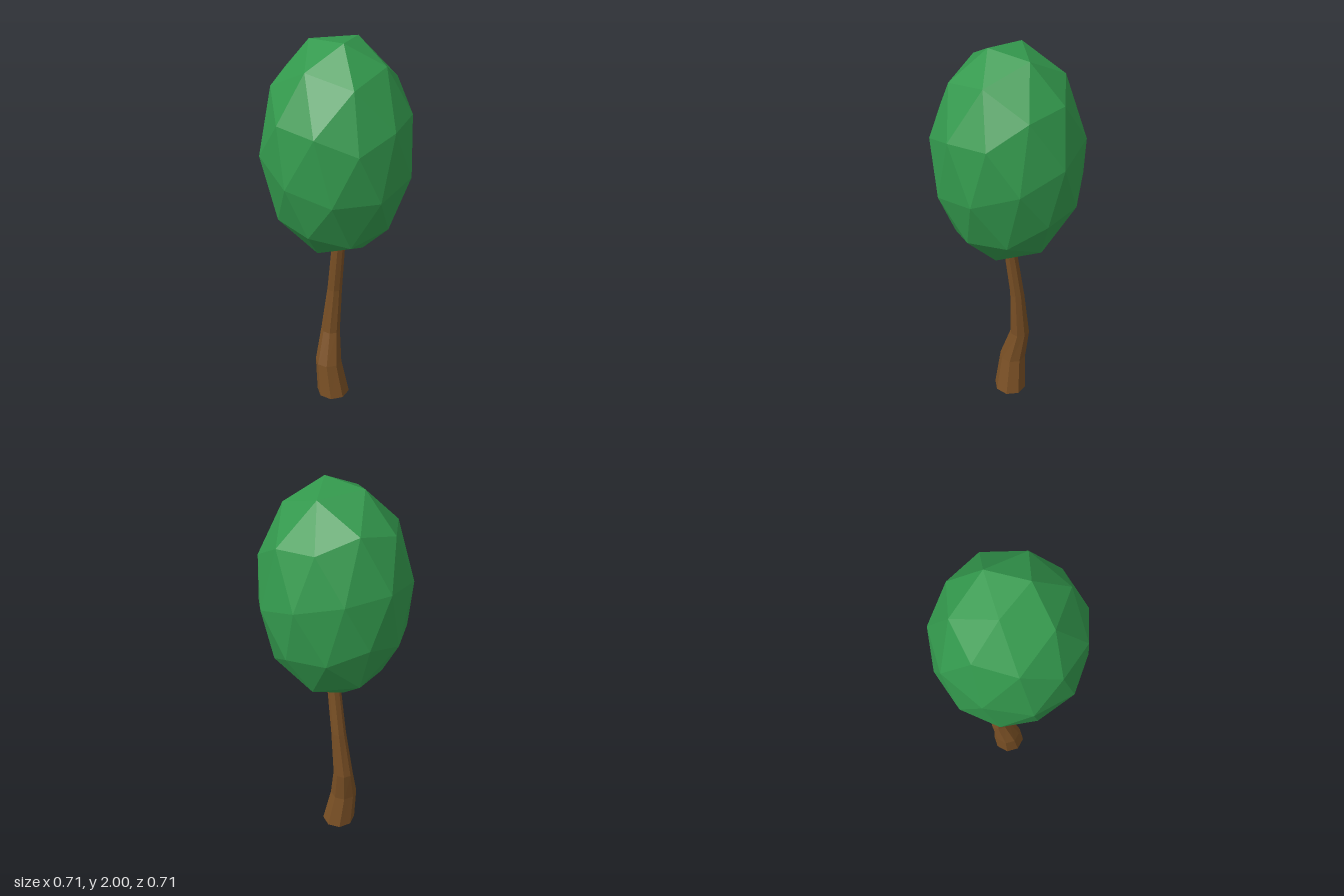
import * as THREE from 'three';

// Trunk cross-sections: y, centre x, centre z, radius x, radius z
const RINGS = [
  [0, -0.02, 0.012, 0.085, 0.087],
  [0.2, -0.043, 0.025, 0.068, 0.07],
  [0.38, -0.067, -0.008, 0.052, 0.048],
  [0.65, -0.043, -0.018, 0.037, 0.038],
  [0.95, -0.002, -0.012, 0.033, 0.033],
  [1.1, 0.015, -0.012, 0.03, 0.03],
];

// Eight-sided tube whose rows are moved onto the cross-sections
function trunkGeometry() {
  const n = RINGS.length - 1;
  const geometry = new THREE.CylinderGeometry(1, 1, n, 8, n).translate(0, n / 2, 0).toNonIndexed();
  const p = geometry.attributes.position;
  for (let i = 0; i < p.count; i++) {
    const [y, cx, cz, rx, rz] = RINGS[Math.round(p.getY(i))];
    p.setXYZ(i, cx + p.getX(i) * rx, y, cz + p.getZ(i) * rz);
  }
  geometry.computeVertexNormals();
  return geometry;
}

// Faceted ball, tilted first and then stretched upwards
function crownGeometry() {
  const a = new THREE.Vector3(0.23, 0.97, 0.081).normalize();
  const b = new THREE.Vector3(-0.745, 0.618, 0.25).normalize();
  const xAxis = a.clone().sub(b).normalize();
  const yAxis = a.clone().add(b).normalize();
  const zAxis = xAxis.clone().cross(yAxis);
  const geometry = new THREE.IcosahedronGeometry(1, 1);
  geometry.applyMatrix4(new THREE.Matrix4().makeBasis(xAxis, yAxis, zAxis));
  geometry.scale(0.368, 0.552, 0.368).translate(0, 1.465, 0);
  geometry.computeVertexNormals();
  return geometry;
}

export function createModel() {
  const bark = new THREE.MeshStandardMaterial({ color: 0x7a5025, flatShading: true });
  bark.name = 'bark brown';
  const leaf = new THREE.MeshStandardMaterial({ color: 0x33994d, flatShading: true });
  leaf.name = 'leaf green';

  const tree = new THREE.Group();
  tree.name = 'tree';
  const trunk = new THREE.Mesh(trunkGeometry(), bark);
  trunk.name = 'trunk';
  const crown = new THREE.Mesh(crownGeometry(), leaf);
  crown.name = 'crown';
  tree.add(trunk, crown);
  return tree;
}
